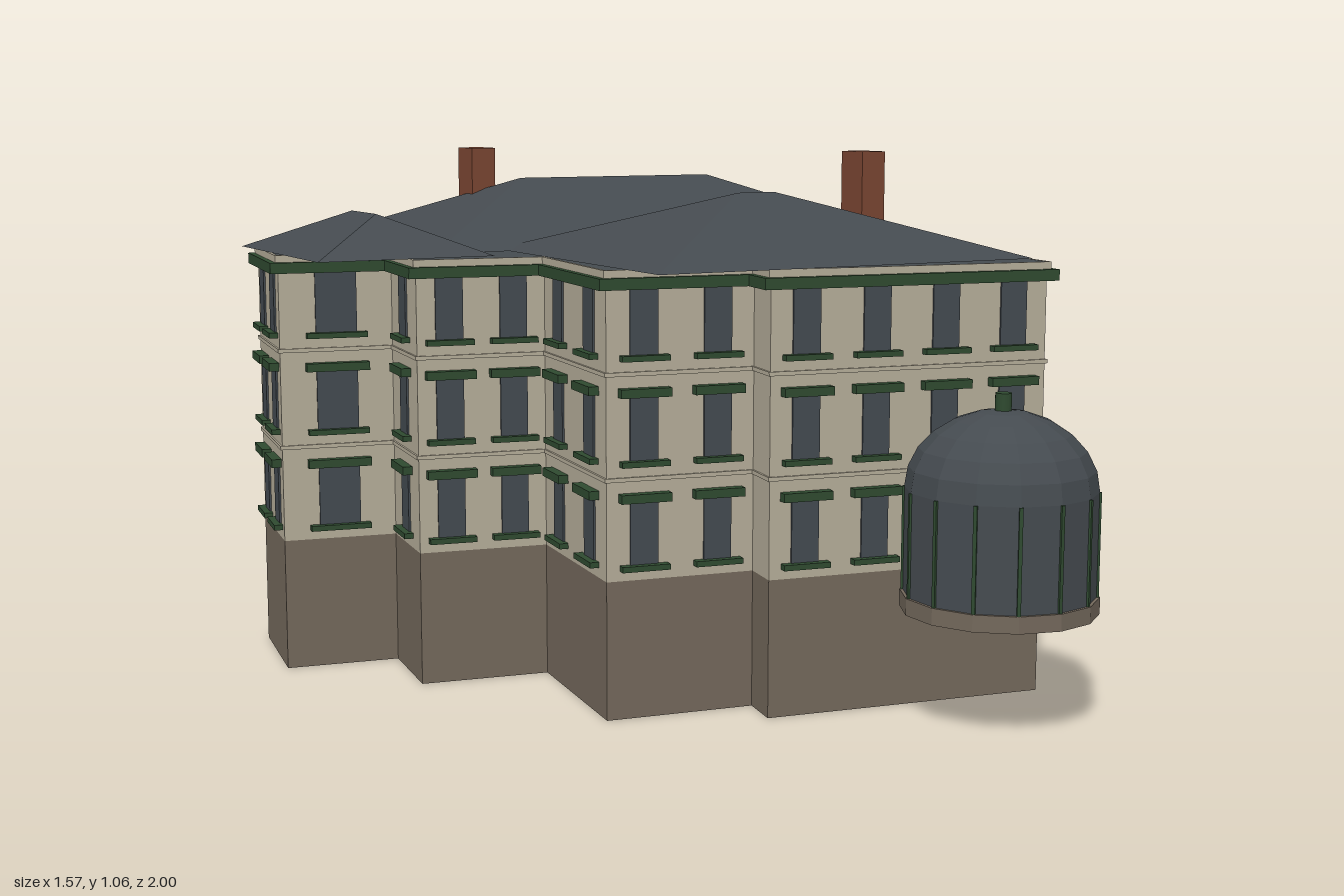
import * as THREE from 'three';

const mat = (name, color, extra = {}) => {
  const m = new THREE.MeshStandardMaterial({ color, ...extra });
  m.name = name;
  return m;
};

export function createModel() {
  const two = { side: THREE.DoubleSide, flatShading: true };
  const stucco = mat('stucco', 0xb5ad99, two);
  const stone = mat('baseStone', 0x73685b, two);
  const slate = mat('slate', 0x454b50, two);
  const glass = mat('windowGlass', 0x434a50);
  const green = mat('greenTrim', 0x2f4a30);
  const brick = mat('brick', 0x7a4632);
  const house = new THREE.Group();
  house.name = 'house';

  const add = (parent, name, geometry, material, x = 0, y = 0, z = 0) => {
    const m = new THREE.Mesh(geometry, material);
    m.name = name;
    m.position.set(x, y, z);
    parent.add(m);
    return m;
  };
  const box = (parent, name, w, h, d, material, x, y, z) =>
    add(parent, name, new THREE.BoxGeometry(w, h, d), material, x, y, z);

  const BASE = 0.27, TOP = 0.86;

  // Outline, counter-clockwise from above: [x, z, windows on the edge that starts here, window width]
  // windows = -1 marks a plain rounded bay
  const arc = (cx, cz, r, from, to, n) => Array.from({ length: n + 1 }, (_, i) => {
    const a = THREE.MathUtils.degToRad(from + (to - from) * i / n);
    return [cx + r * Math.sin(a), cz + r * Math.cos(a), -1];
  });
  const outline = [
    [-0.34, 0.45, 2], [-0.045, 0.49, 0], [-0.06, 0.577, 4],
    [0.515, 0.66, 2], [0.565, 0.32, 0], [0.512, 0.31, 2], [0.565, -0.055, -1],
    ...arc(0.637, -0.195, 0.143, -10, 195, 9),
    ...arc(0.64, -0.555, 0.105, 0, 105, 5),
    [0.735, -0.625, 1], [0.655, -0.735, 5], [-0.13, -0.85, 0],
    [-0.145, -0.745, 2], [-0.43, -0.785, 2], [-0.475, -0.425, 1],
    [-0.725, -0.455, 2], [-0.765, -0.19, 1, 0.085], [-0.535, -0.155, 1], [-0.56, 0.05, 2], [-0.30, 0.09, 2],
  ];

  // One window with sill and lintel, in the plane of its wall
  const addWindow = (wall, x, y, w, lintel) => {
    box(wall, 'windowPane', w, 0.125, 0.008, glass, x, y + 0.0625, 0);
    box(wall, 'windowSill', w + 0.04, 0.011, 0.024, green, x, y - 0.005, 0.006);
    if (lintel) box(wall, 'windowLintel', w + 0.045, 0.017, 0.026, green, x, y + 0.13, 0.007);
  };

  // Walls, edge by edge; local +z faces outward
  outline.forEach(([ax, az, count, width = 0.056], i) => {
    const [bx, bz] = outline[(i + 1) % outline.length];
    const len = Math.hypot(bx - ax, bz - az);
    const wall = new THREE.Group();
    wall.name = count < 0 ? 'bayWall' : 'wall';
    wall.position.set((ax + bx) / 2, 0, (az + bz) / 2);
    wall.rotation.y = Math.atan2(az - bz, bx - ax);
    house.add(wall);
    add(wall, 'baseWall', new THREE.PlaneGeometry(len, BASE), stone, 0, BASE / 2, 0);
    add(wall, 'upperWall', new THREE.PlaneGeometry(len, TOP - BASE), stucco, 0, (TOP + BASE) / 2, 0);
    if (count < 0) {
      box(wall, 'bayEave', len + 0.005, 0.014, 0.012, slate, 0, 0.851, 0.004);
      return;
    }
    box(wall, 'cornice', len + 0.036, 0.022, 0.018, green, 0, 0.835, 0.009);
    box(wall, 'parapet', len + 0.012, 0.015, 0.006, stucco, 0, 0.853, 0.003);
    for (const y of [0.465, 0.665]) box(wall, 'stringCourse', len + 0.008, 0.008, 0.004, stucco, 0, y, 0.002);
    for (let k = 0; k < count; k++) {
      const x = ((k + 0.5) / count - 0.5) * len;
      [0.3, 0.5, 0.7].forEach((y, row) => addWindow(wall, x, y, width, row < 2));
    }
  });

  // Flat roof over the whole outline
  const shape = new THREE.Shape(outline.map(([x, z]) => new THREE.Vector2(x, -z)));
  add(house, 'flatRoof', new THREE.ShapeGeometry(shape).rotateX(-Math.PI / 2), slate, 0, TOP, 0);

  // Hipped roofs: eaves rectangle, then the two ends of the ridge
  const hip = (name, x0, x1, z0, z1, p, q, h) => {
    const a = [x0, 0, z1], b = [x1, 0, z1], c = [x1, 0, z0], d = [x0, 0, z0];
    const P = [p[0], h, p[1]], Q = [q[0], h, q[1]];
    const alongX = p[1] === q[1];
    const tris = alongX
      ? [a, b, Q, a, Q, P, b, c, Q, c, d, P, c, P, Q, d, a, P]
      : [a, b, Q, b, c, P, b, P, Q, c, d, P, d, a, Q, d, Q, P];
    const g = new THREE.BufferGeometry();
    g.setAttribute('position', new THREE.Float32BufferAttribute(tris.flat(), 3));
    g.computeVertexNormals();
    add(house, name, g, slate, 0, TOP + 0.002, 0);
  };
  hip('mainRoof', -0.475, 0.685, -0.755, -0.06, [-0.13, -0.405], [0.345, -0.405], 0.136);
  hip('frontWingRoof', -0.31, 0.525, -0.135, 0.605, [0.065, 0.235], [0.15, 0.235], 0.124);
  hip('sideWingRoof', -0.76, -0.39, -0.455, 0.05, [-0.575, -0.275], [-0.575, -0.13], 0.08);

  // Chimneys
  for (const [x, z] of [[-0.195, -0.505], [0.41, 0.165]])
    box(house, 'chimney', 0.056, 0.2, 0.08, brick, x, 0.964, z);

  // Domed conservatory
  const conservatory = new THREE.Group();
  conservatory.name = 'conservatory';
  conservatory.position.set(0.3, 0, 0.815);
  house.add(conservatory);
  const SIDES = 14, R = 0.18;
  add(conservatory, 'conservatoryBase', new THREE.CylinderGeometry(0.186, 0.186, 0.032, SIDES), stone, 0, 0.241, 0);
  const profile = [new THREE.Vector2(R, 0.255)];
  for (let i = 0; i <= 6; i++) {
    const t = i / 6 * Math.PI / 2;
    profile.push(new THREE.Vector2(R * Math.cos(t) + 0.0001, 0.455 + 0.15 * Math.sin(t)));
  }
  add(conservatory, 'conservatoryGlass', new THREE.LatheGeometry(profile, SIDES), slate);
  for (let i = 0; i < SIDES; i++) {
    const a = i / SIDES * Math.PI * 2;
    box(conservatory, 'mullion', 0.007, 0.2, 0.007, green, R * Math.sin(a), 0.355, R * Math.cos(a)).rotation.y = a;
  }
  add(conservatory, 'finial', new THREE.CylinderGeometry(0.016, 0.016, 0.036, 10), green, 0, 0.618, 0);

  // Rear veranda
  box(house, 'verandaDeck', 0.66, 0.038, 0.19, stone, 0.135, 0.245, -0.905);
  box(house, 'verandaRoof', 0.66, 0.014, 0.15, green, 0.135, 0.446, -0.925);
  for (let i = 0; i < 5; i++)
    box(house, 'verandaPost', 0.012, 0.18, 0.012, stucco, -0.18 + i * 0.1575, 0.352, -0.985);

  return house;
}
